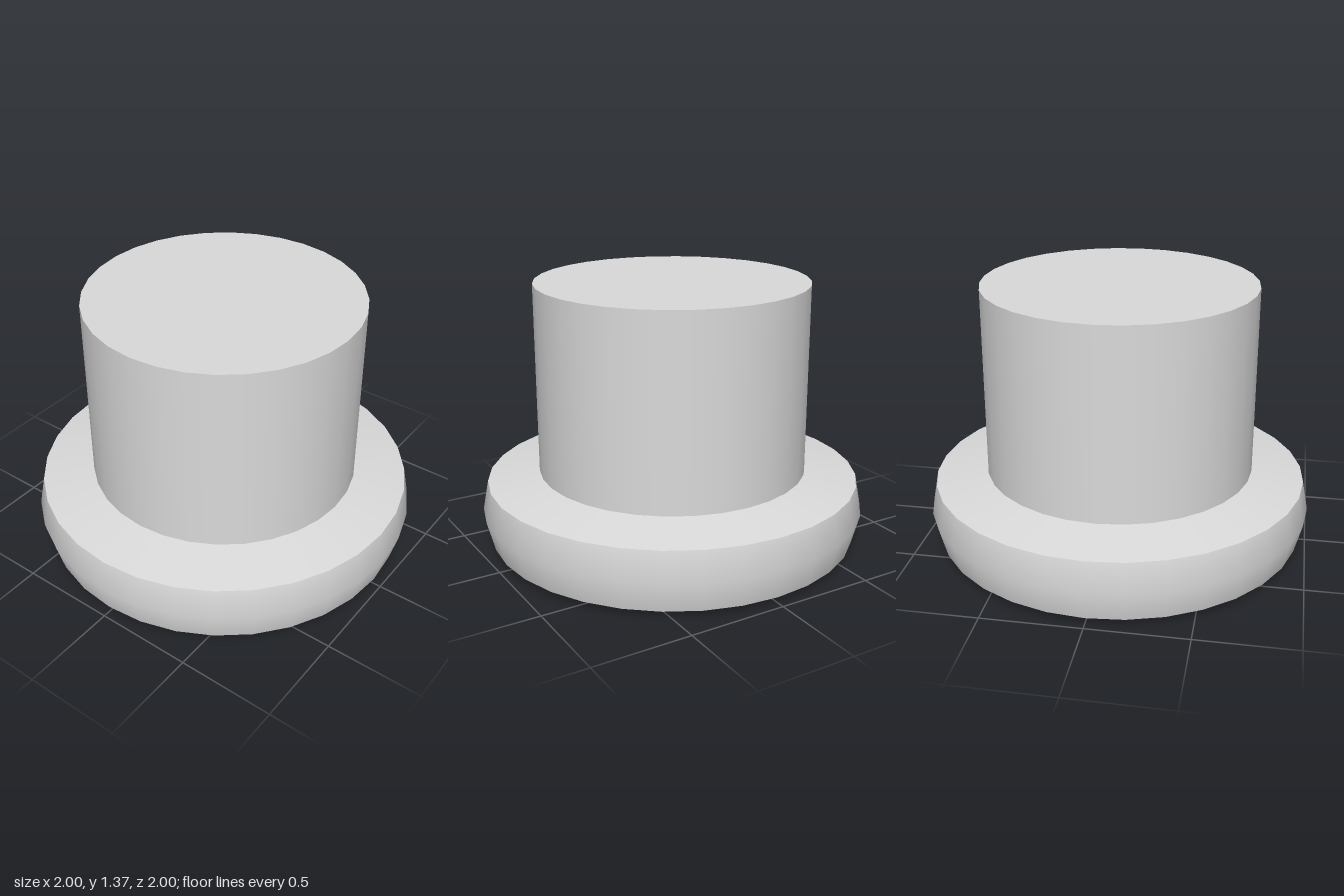
import * as THREE from 'three';

const SIDES = 32;

export function createModel() {
  const model = new THREE.Group();
  model.name = 'flangedCap';
  const grey = new THREE.MeshStandardMaterial({ color: 0xdadada });
  grey.name = 'light grey';

  // Each section is its own lathe, so the edges between sections stay sharp.
  // Profiles are [radius, height], running up the outside and down the inside.
  const sections = {
    underRim: [[0.83, 0], [0.96, 0.03]],
    flangeSide: [[0.96, 0.03], [1, 0.185], [0.97, 0.34]],
    flangeTop: [[0.97, 0.34], [0.7, 0.385]],
    barrelWall: [[0.7, 0.385], [0.7, 1.37]],
    barrelTop: [[0.7, 1.37], [0, 1.37]],
    innerHollow: [[0, 1.25], [0.4, 0.85], [0.68, 0.35], [0.83, 0]],
  };

  for (const [name, profile] of Object.entries(sections)) {
    const points = profile.map(([r, y]) => new THREE.Vector2(r, y));
    const mesh = new THREE.Mesh(new THREE.LatheGeometry(points, SIDES), grey);
    mesh.name = name;
    model.add(mesh);
  }
  return model;
}
